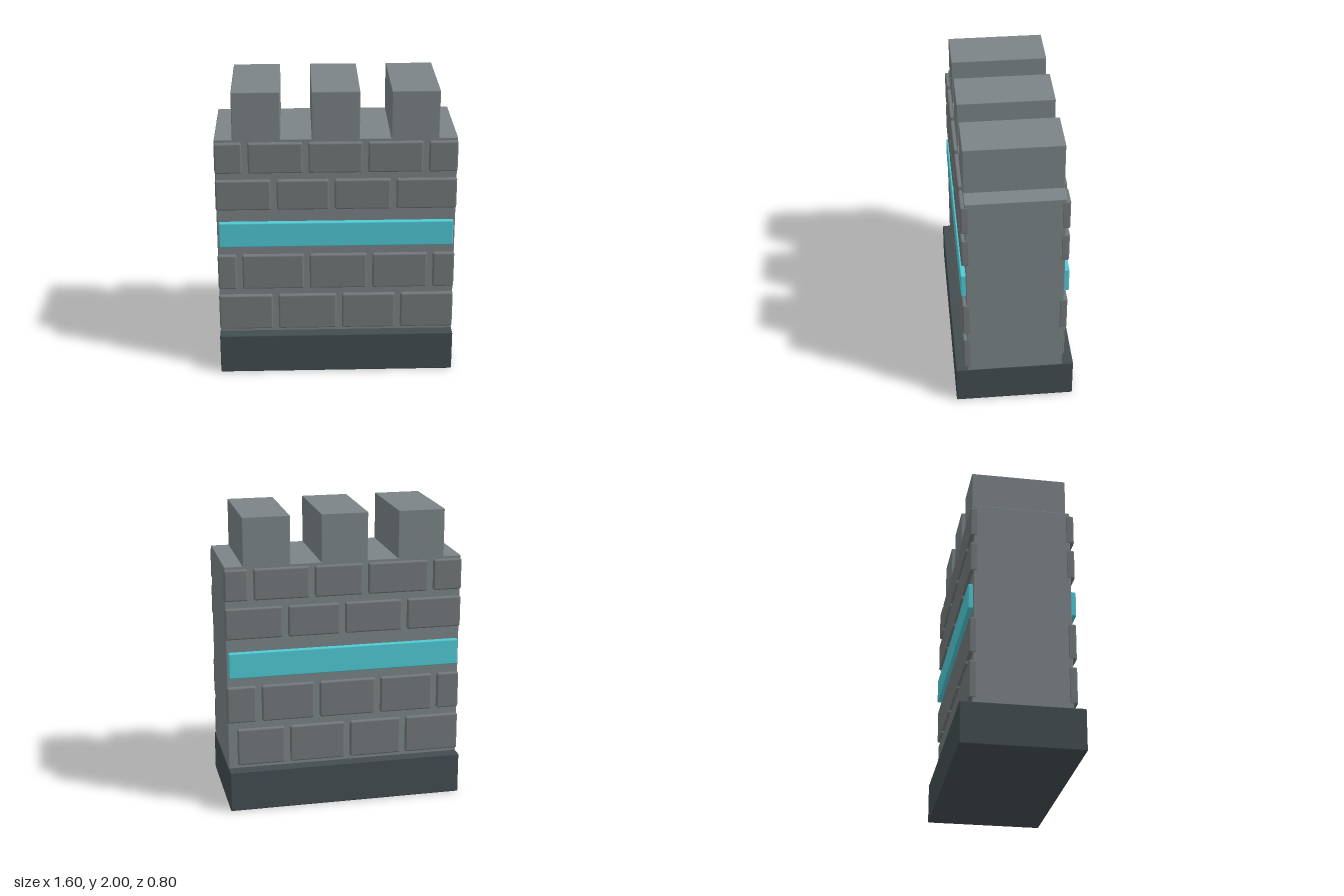
import * as THREE from 'three';
import { RoundedBoxGeometry } from 'three/addons/geometries/RoundedBoxGeometry.js';

const material = (name, color) => {
  const m = new THREE.MeshStandardMaterial({ color });
  m.name = name;
  return m;
};

export function createModel() {
  const wall = new THREE.Group();
  wall.name = 'castleWall';
  const stone = material('stone', 0x7b8487);
  const brickStone = material('brickStone', 0x72787a);
  const darkStone = material('darkStone', 0x434d51);
  const cyan = material('cyan', 0x4fcad6);

  // Softly bevelled block given by its extents on each axis
  function block(name, mat, [x0, x1], [y0, y1], [z0, z1], bevel, parent = wall) {
    const geo = new RoundedBoxGeometry(x1 - x0, y1 - y0, z1 - z0, 2, bevel);
    const mesh = new THREE.Mesh(geo, mat);
    mesh.position.set((x0 + x1) / 2, (y0 + y1) / 2, (z0 + z1) / 2);
    mesh.name = name;
    parent.add(mesh);
  }

  // Main masses
  block('plinth', darkStone, [-0.8, 0.8], [0, 0.28], [-0.4, 0.4], 0.008);
  block('wallCore', stone, [-0.798, 0.798], [0.1, 1.68], [-0.32, 0.32], 0.006);

  // Battlements
  for (const x of [-0.522, -0.002, 0.518]) {
    block('merlon', stone, [x - 0.158, x + 0.158], [1.67, 2], [-0.32, 0.32], 0.006);
  }

  // Brick courses: height range, then x of each joint on the front and the back
  const courses = [
    { y: [0.305, 0.56], front: [-0.415, 0.02, 0.42], back: [-0.41, -0.02, 0.395], backEnd: 0.735 },
    { y: [0.61, 0.86], front: [-0.655, -0.2, 0.225, 0.635], back: [-0.628, -0.23, 0.19, 0.585] },
    { y: [1.19, 1.4], front: [-0.415, -0.03, 0.38], back: [-0.41, 0.015, 0.4] },
    { y: [1.45, 1.66], front: [-0.6, -0.203, 0.19, 0.59], back: [-0.587, -0.14, 0.22, 0.627] },
  ];
  const gap = 0.02; // half the mortar joint

  for (const side of ['front', 'back']) {
    const group = new THREE.Group();
    group.name = side + 'Bricks';
    wall.add(group);
    const depth = side === 'front' ? [0.29, 0.347] : [-0.345, -0.29];
    for (const course of courses) {
      const end = side === 'back' && course.backEnd ? course.backEnd : 0.8;
      const edges = [-0.8 - gap, ...course[side], end + gap];
      for (let i = 0; i < edges.length - 1; i++) {
        block('brick', brickStone, [edges[i] + gap, edges[i + 1] - gap], course.y, depth, 0.012, group);
      }
    }
  }

  // Bright bands on both faces
  block('frontBand', cyan, [-0.785, 0.785], [0.925, 1.1], [0.29, 0.353], 0.008);
  block('backBand', cyan, [-0.785, 0.785], [0.925, 1.1], [-0.353, -0.29], 0.008);

  return wall;
}
